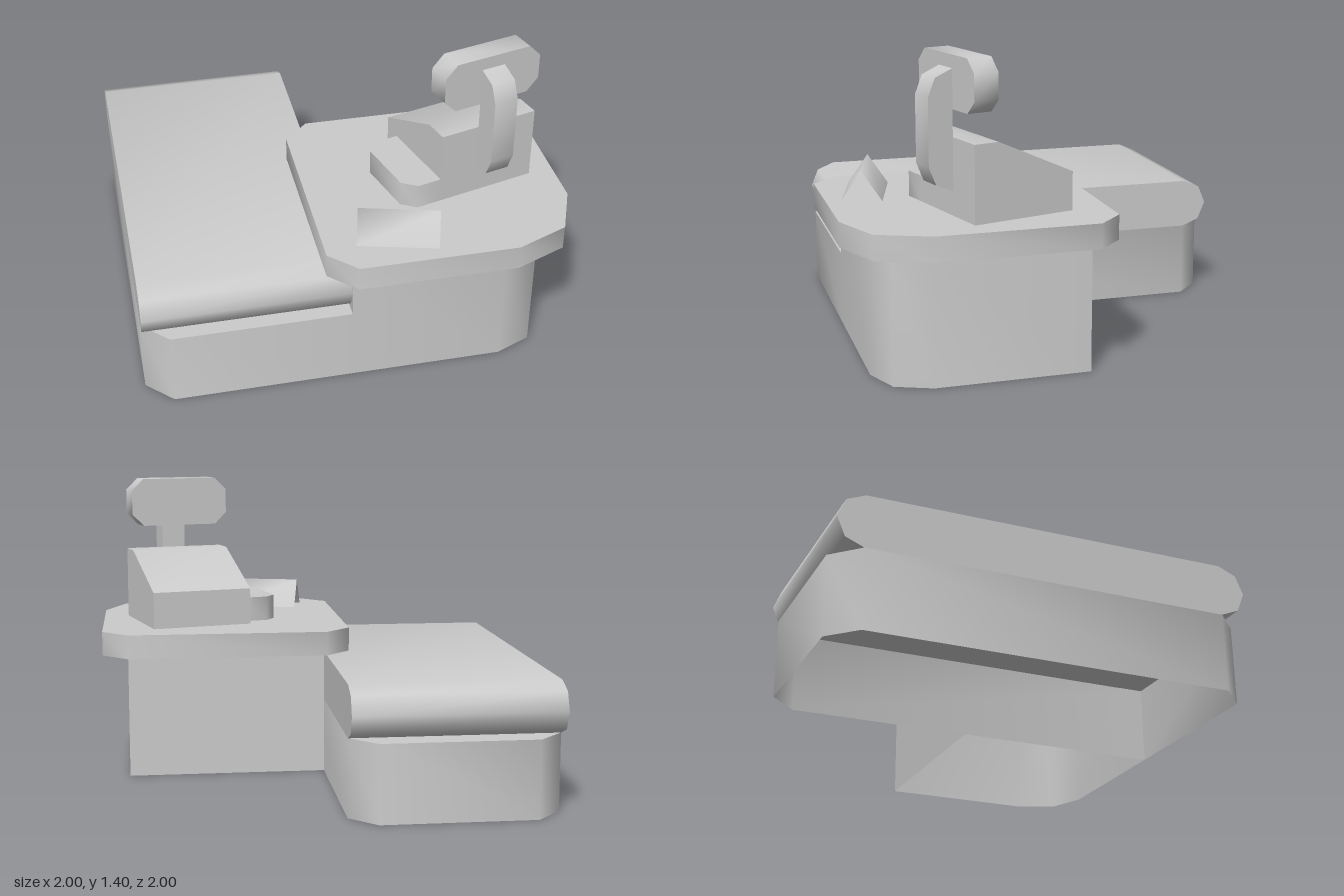
import * as THREE from 'three';
import { toCreasedNormals } from 'three/addons/utils/BufferGeometryUtils.js';

const solid = new THREE.MeshStandardMaterial({ color: 0xcccccc });
const open = new THREE.MeshStandardMaterial({ color: 0xcccccc, side: THREE.DoubleSide });
const CREASE = 0.9;

function extrude(points, depth) {
  const shape = new THREE.Shape(points.map(([a, b]) => new THREE.Vector2(a, b)));
  return new THREE.ExtrudeGeometry(shape, { depth, bevelEnabled: false, steps: 1 });
}

// Plan outline of [x, z] points raised from y0 to y1
function upright(plan, y0, y1) {
  const g = extrude(plan.map(([x, z]) => [x, -z]), y1 - y0);
  return g.rotateX(-Math.PI / 2).translate(0, y0, 0);
}

// Side profile of [z, y] points swept from x0 to x1
function sideways(profile, x0, x1) {
  return extrude(profile, x1 - x0).rotateY(-Math.PI / 2).translate(x1, 0, 0);
}

// Removes the flat faces lying at the given heights
function withoutCaps(geometry, heights) {
  const g = geometry.index ? geometry.toNonIndexed() : geometry;
  const p = g.attributes.position;
  const kept = [];
  for (let i = 0; i < p.count; i += 3) {
    const flat = heights.some((h) => [0, 1, 2].every((k) => Math.abs(p.getY(i + k) - h) < 1e-4));
    if (flat) continue;
    for (let k = 0; k < 3; k++) kept.push(p.getX(i + k), p.getY(i + k), p.getZ(i + k));
  }
  const out = new THREE.BufferGeometry();
  out.setAttribute('position', new THREE.Float32BufferAttribute(kept, 3));
  return out;
}

function part(name, geometry, material = solid) {
  const mesh = new THREE.Mesh(toCreasedNormals(geometry, CREASE), material);
  mesh.name = name;
  return mesh;
}

// Two-segment rounded corner; (cx, cy) is the arc centre, a0 the start angle
function arc(cx, cy, r, a0) {
  return [0, 1, 2].map((i) => {
    const a = a0 + (i * Math.PI) / 4;
    return [cx + r * Math.cos(a), cy + r * Math.sin(a)];
  });
}

export function createModel() {
  const model = new THREE.Group();
  model.name = 'checkoutCounter';
  const H = Math.PI / 2;

  // Hollow base under the conveyor, chamfered on its free corners
  const beltPlan = [[-0.06, 0.88], [-0.88, 0.88], [-1, 0.76], [-1, -0.88], [-0.88, -1], [-0.18, -1], [-0.06, -0.88]];
  model.add(part('conveyorBase', withoutCaps(upright(beltPlan, 0, 0.355), [0]), open));

  // Conveyor belt with rounded ends
  const beltProfile = [...arc(0.76, 0.472, 0.118, -H), ...arc(0.76, 0.472, 0.118, 0).slice(1),
    ...arc(-0.88, 0.472, 0.118, H), ...arc(-0.88, 0.472, 0.118, 2 * H).slice(1)];
  model.add(part('conveyorBelt', sideways(beltProfile, -1, -0.06)));

  // Hollow desk base, rounded at the front outer corner
  const deskPlan = [[-0.06, -0.06], [0.88, -0.06], ...arc(0.645, 0.645, 0.235, 0), [-0.06, 0.88]];
  model.add(part('deskBase', withoutCaps(upright(deskPlan, 0, 0.592), [0, 0.592]), open));

  // Counter top
  const topPlan = [[-0.06, -0.18], [0.88, -0.18], [1, -0.06], ...arc(0.66, 0.66, 0.34, 0),
    [-0.06, 1], [-0.18, 0.88], [-0.18, -0.06]];
  model.add(part('counterTop', upright(topPlan, 0.592, 0.705)));

  // Cash register, turned on the counter
  const register = new THREE.Group();
  register.name = 'cashRegister';
  register.position.set(0.582, 0, 0.29);
  register.rotation.y = Math.PI / 12;
  model.add(register);

  const w = 0.244;
  register.add(part('registerBody', sideways(
    [[w, 0.705], [w, 1.05], [0.128, 1.05], [-w, 0.88], [-w, 0.705]], -w, w)));

  register.add(part('sideTray', upright(
    [[-w, -0.16], [-0.36, -0.16], [-0.418, -0.102], [-0.418, 0.186], [-0.36, w], [-w, w]], 0.705, 0.823)));

  // Display panel with cut corners
  const c = 0.058, y0 = 1.17, y1 = 1.403;
  const panel = [[-w + c, y0], [w - c, y0], [w, y0 + c], [w, y1 - c], [w - c, y1], [-w + c, y1], [-w, y1 - c], [-w, y0 + c]];
  register.add(part('display', extrude(panel, w - 0.128).translate(0, 0, 0.128)));

  // Bracket joining the display to the body
  const bracket = [...arc(w, 0.932, 0.117, -H), ...arc(w, 1.228, 0.117, 0)];
  register.add(part('displayBracket', sideways(bracket, -0.058, 0.058)));

  // Folded sign: a thin sheet bent along its ridge
  const sheet = new THREE.PlaneGeometry(0.363, 0.186, 1, 2).rotateX(-H);
  const p = sheet.attributes.position;
  for (let i = 0; i < p.count; i++) p.setY(i, Math.abs(p.getZ(i)) < 0.01 ? 0.842 : 0.705);
  sheet.computeVertexNormals();
  const sign = new THREE.Mesh(sheet, open);
  sign.name = 'foldedSign';
  sign.position.set(0.162, 0, 0.797);
  sign.rotation.y = -Math.PI / 12;
  model.add(sign);

  return model;
}
